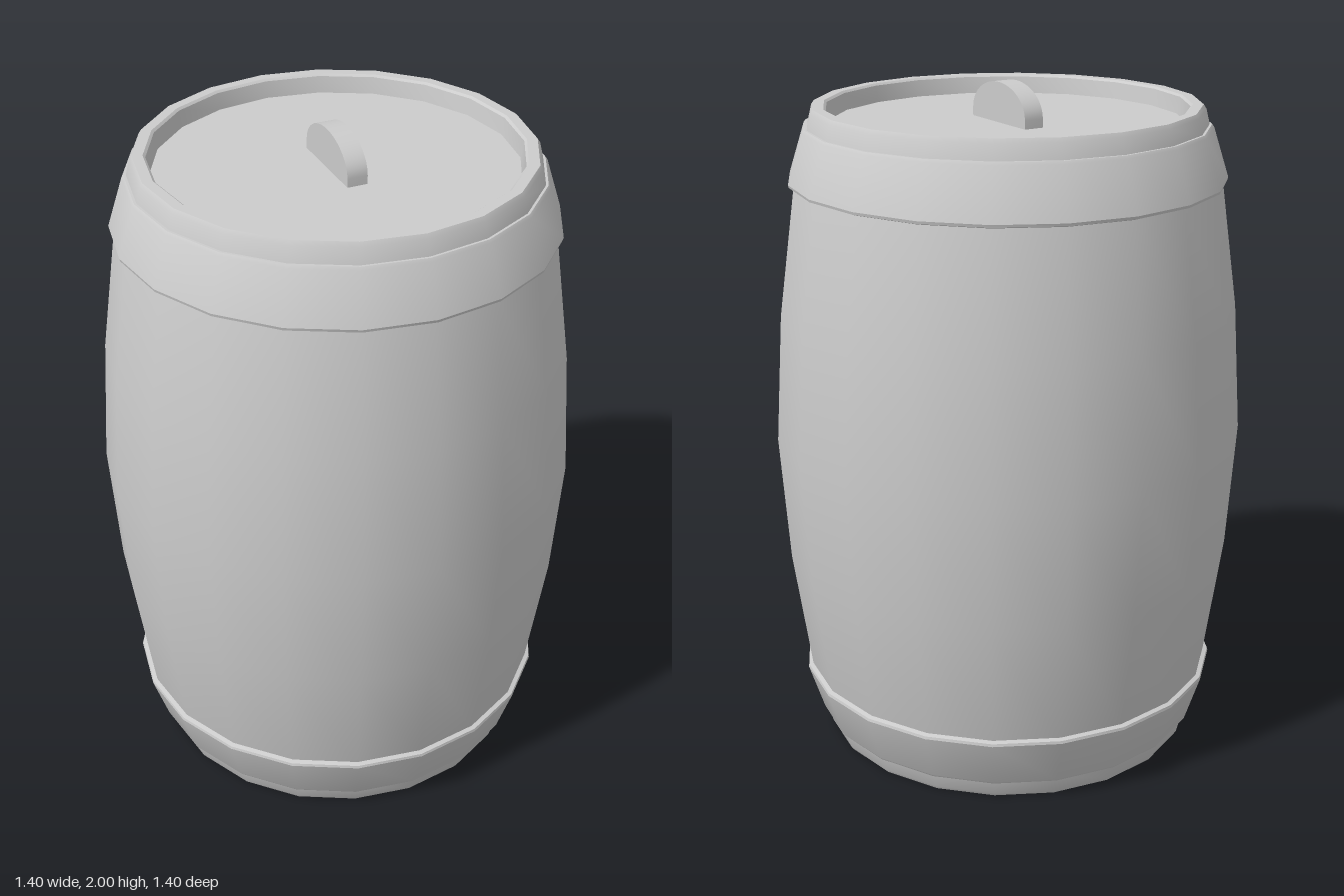
import * as THREE from 'three';
import { toCreasedNormals } from 'three/addons/utils/BufferGeometryUtils.js';

const SIDES = 20;
const HEIGHT = 1.94; // rim to rim, without the handle
const RECESS = 0.055; // depth of both heads below their rims
const HEAD_RADIUS = 0.515;

export function createModel() {
  const group = new THREE.Group();
  const material = new THREE.MeshStandardMaterial({ color: 0xcccccc });

  const add = (name, geometry) => {
    const mesh = new THREE.Mesh(geometry, material);
    mesh.name = name;
    group.add(mesh);
    return mesh;
  };
  // Turned shape, smooth around the axis but sharp at strong profile bends
  const turn = (profile) => toCreasedNormals(
    new THREE.LatheGeometry(profile.map(([r, y]) => new THREE.Vector2(r, y)), SIDES), 0.5);
  // Same profile upside down, reversed so that it still faces outward
  const flip = (profile) => profile.map(([r, y]) => [r, HEIGHT - y]).reverse();

  // Bulging body with raised rims at both ends
  const lowerHalf = [
    [HEAD_RADIUS, RECESS], [0.523, 0.006], [0.53, 0], [0.56, 0], [0.568, 0.012],
    [0.58, 0.06], [0.622, 0.21], [0.675, 0.59],
  ];
  add('body', turn([...lowerHalf, [0.7, HEIGHT / 2], ...flip(lowerHalf)]));

  // Hoops around both ends
  const hoop = [
    [0.575, 0.056], [0.586, 0.056], [0.592, 0.064], [0.638, 0.208], [0.636, 0.216], [0.618, 0.222],
  ];
  add('lowerHoop', turn(hoop));
  add('upperHoop', turn(flip(hoop)));

  // Recessed flat heads
  for (const [name, y, tilt] of [['bottomHead', RECESS, 1], ['lid', HEIGHT - RECESS, -1]]) {
    const head = add(name, new THREE.CircleGeometry(HEAD_RADIUS, SIDES));
    head.rotation.x = tilt * Math.PI / 2;
    head.position.y = y;
  }

  // Upright half-round handle on a short straight foot
  const outline = new THREE.Shape();
  outline.moveTo(-0.14, -0.035);
  outline.lineTo(0.14, -0.035);
  outline.lineTo(0.14, 0);
  outline.absellipse(0, 0, 0.14, 0.09, 0, Math.PI, false);
  outline.closePath();
  const handleGeometry = new THREE.ExtrudeGeometry(outline, { depth: 0.06, bevelEnabled: false, curveSegments: 12 });
  handleGeometry.translate(0, 0, -0.03);
  handleGeometry.rotateY(Math.PI / 2);
  add('lidHandle', toCreasedNormals(handleGeometry, 0.6)).position.y = 1.91;

  return group;
}
